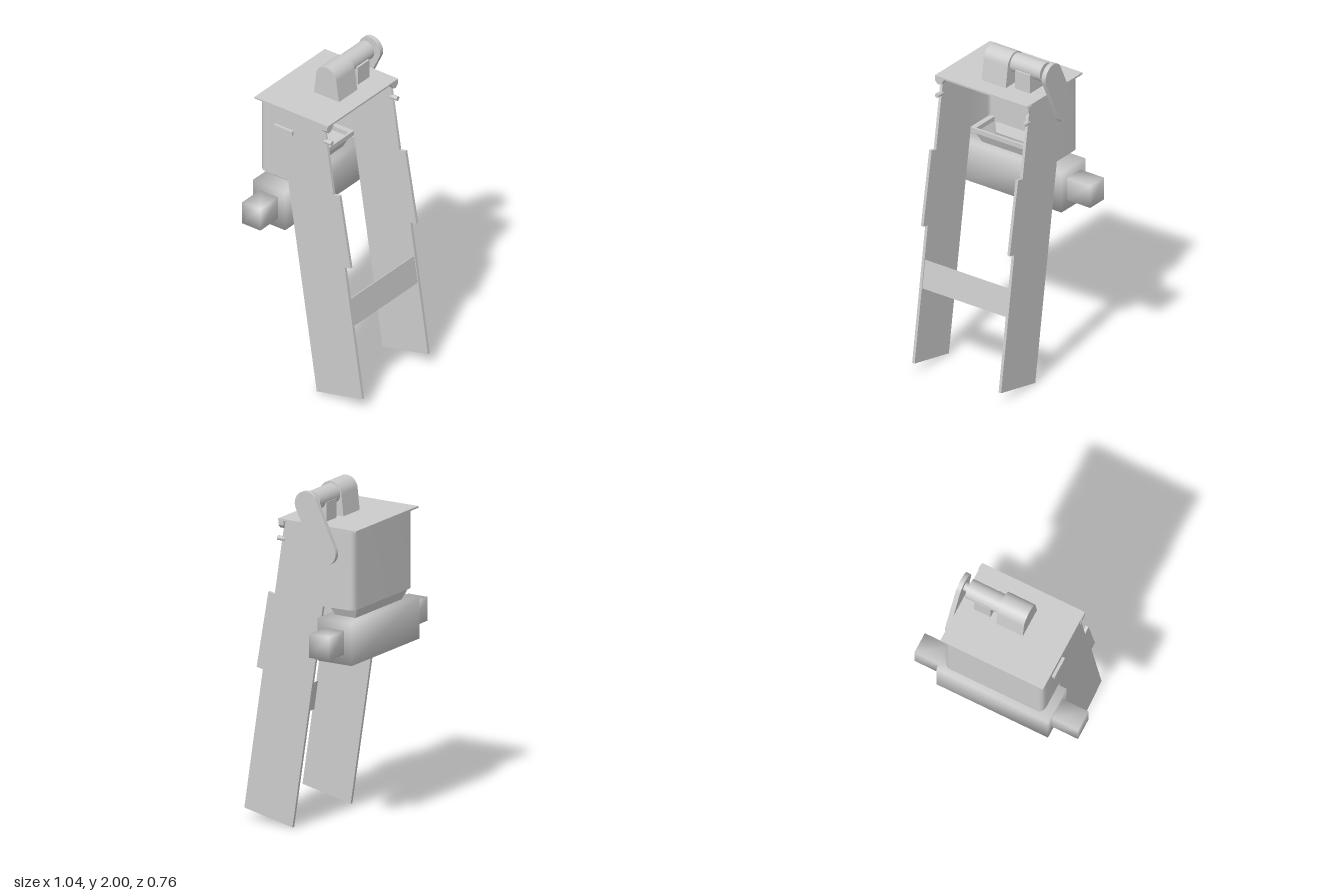
import * as THREE from 'three';
import { mergeVertices, toCreasedNormals } from 'three/addons/utils/BufferGeometryUtils.js';

const grey = new THREE.MeshStandardMaterial({ color: 0xcccccc, side: THREE.DoubleSide });

export function createModel() {
  const model = new THREE.Group();

  const add = (name, geometry, x = 0, y = 0, z = 0) => {
    const mesh = new THREE.Mesh(geometry, grey);
    mesh.name = name;
    mesh.position.set(x, y, z);
    model.add(mesh);
    return mesh;
  };
  // box given by its minimum and maximum corners
  const box = (name, a, b, smooth = false) => {
    let g = new THREE.BoxGeometry(b[0] - a[0], b[1] - a[1], b[2] - a[2]);
    if (smooth) {
      g.deleteAttribute('normal');
      g.deleteAttribute('uv');
      g = mergeVertices(g);
      g.computeVertexNormals();
    }
    return add(name, g, (a[0] + b[0]) / 2, (a[1] + b[1]) / 2, (a[2] + b[2]) / 2);
  };
  const extrude = (shape, depth) => toCreasedNormals(
    new THREE.ExtrudeGeometry(shape, { depth, bevelEnabled: false, curveSegments: 16 }), 0.6);
  // side profile drawn in (z, y), spanning x0 to x1
  const sideExtrude = (name, shape, x0, x1) =>
    add(name, extrude(shape, x1 - x0).rotateY(-Math.PI / 2), x1);
  const polygon = (pts) => new THREE.Shape(pts.map(([x, y]) => new THREE.Vector2(x, y)));
  // cylinder along x
  const rod = (name, r, x0, x1, y, z) =>
    add(name, new THREE.CylinderGeometry(r, r, x1 - x0, 32).rotateZ(Math.PI / 2), (x0 + x1) / 2, y, z);

  // Leaning side panels with the stepped front edge
  const panel = polygon([
    [0.38, 0.07], [0.055, 0], [-0.15, 1.33], [-0.15, 1.8], [0.09, 1.8], [0.11, 1.775],
    [0.175, 1.353], [0.2175, 1.363], [0.297, 0.91], [0.255, 0.9],
  ]);
  for (const s of [-1, 1]) {
    const side = s < 0 ? 'right' : 'left';
    sideExtrude(side + 'SidePanel', panel, s * 0.305 - 0.009, s * 0.305 + 0.009);

    // Corner gusset under the lid
    const gusset = polygon([[s * 0.33, 1.8], [s * 0.33, 1.77], [s * 0.31, 1.75], [s * 0.29, 1.755], [s * 0.26, 1.8]]);
    add(side + 'Gusset', extrude(gusset, 0.035), 0, 0, 0.105);

    // Small catch on the front edge of the panel
    const knob = new THREE.CylinderGeometry(0.014, 0.014, 0.05, 16).rotateX(Math.PI / 2);
    add(side + 'Catch', knob, s * 0.305, 1.687, 0.133);

    // End stub of the lower housing
    const [a, b] = s < 0 ? [-0.52, -0.35] : [0.35, 0.52];
    box(side + 'HousingStub', [a, 1.08, -0.32], [b, 1.22, -0.19], true);
  }

  // Crossbar tilted with the legs
  const bar = add('crossbar', new THREE.BoxGeometry(0.6, 0.172, 0.006), 0, 0.605, 0.291);
  bar.rotation.x = -0.15;

  // Hopper wall, U-shaped in plan and open to the front
  const wall = new THREE.Shape();
  const w = 0.314, back = -0.355, r = 0.045, t = 0.016, front = -0.14;
  wall.moveTo(-w, front);
  wall.lineTo(-w, back + r);
  wall.quadraticCurveTo(-w, back, -w + r, back);
  wall.lineTo(w - r, back);
  wall.quadraticCurveTo(w, back, w, back + r);
  wall.lineTo(w, front);
  wall.lineTo(w - t, front);
  wall.lineTo(w - t, back + r);
  wall.quadraticCurveTo(w - t, back + t, w - r, back + t);
  wall.lineTo(-w + r, back + t);
  wall.quadraticCurveTo(-w + t, back + t, -w + t, back + r);
  wall.lineTo(-w + t, front);
  wall.closePath();
  add('hopperWall', extrude(wall, 0.47).rotateX(Math.PI / 2), 0, 1.8);

  // Rim around the hopper outlet
  const rim = polygon([[-0.3, -0.345], [0.3, -0.345], [0.3, -0.15], [-0.3, -0.15]]);
  rim.holes.push(polygon([[-0.265, -0.34], [-0.265, -0.165], [0.265, -0.165], [0.265, -0.34]]));
  add('hopperRim', extrude(rim, 0.028).rotateX(Math.PI / 2), 0, 1.36);

  // Open funnel narrowing onto the lower housing
  const funnel = new THREE.CylinderGeometry(Math.SQRT1_2, Math.SQRT1_2, 0.065, 4, 1, true)
    .rotateY(Math.PI / 4).toNonIndexed();
  const p = funnel.attributes.position;
  for (let i = 0; i < p.count; i++) {
    const top = p.getY(i) > 0;
    p.setX(i, p.getX(i) * (top ? 0.54 : 0.48));
    p.setZ(i, p.getZ(i) * (top ? 0.19 : 0.135));
  }
  funnel.computeVertexNormals();
  add('funnel', funnel, 0, 1.3, -0.255);

  // Lower housing
  box('lowerHousing', [-0.355, 1.02, -0.37], [0.355, 1.27, -0.14], true);

  // Lid and side grip
  box('lid', [-0.328, 1.795, -0.38], [0.325, 1.806, 0.145]);
  box('sideGrip', [-0.332, 1.648, -0.24], [-0.31, 1.675, -0.11]);

  // Gearbox with a rounded top
  const gearbox = new THREE.Shape();
  gearbox.moveTo(0.035, 1.8);
  gearbox.lineTo(0.014, 1.935);
  gearbox.absarc(-0.058, 1.927, 0.073, 0.1, Math.PI - 0.1, false);
  gearbox.lineTo(-0.145, 1.8);
  gearbox.closePath();
  sideExtrude('gearbox', gearbox, -0.08, 0.09);

  // Motor, its foot and shaft
  rod('motor', 0.058, 0.09, 0.3, 1.932, -0.065);
  box('motorFoot', [0.135, 1.8, -0.125], [0.24, 1.92, 0.005]);
  rod('shaft', 0.026, 0.3, 0.335, 1.932, -0.065);

  // Rounded drive guard
  const guard = new THREE.Shape();
  const tilt = Math.atan2(0.265, 0.125);
  guard.absarc(-0.062, 1.925, 0.075, Math.PI / 2 - (Math.PI / 2 - tilt) * -1 - Math.PI / 2, Math.PI / 2 + (Math.PI / 2 - tilt) + Math.PI / 2, false);
  guard.absarc(-0.187, 1.66, 0.075, Math.PI / 2 + (Math.PI / 2 - tilt) + Math.PI / 2, 2.5 * Math.PI - tilt, false);
  guard.closePath();
  const a0 = tilt - Math.PI / 2;
  const capsule = new THREE.Shape();
  capsule.absarc(-0.062, 1.925, 0.075, a0, a0 + Math.PI, false);
  capsule.absarc(-0.187, 1.66, 0.075, a0 + Math.PI, a0 + 2 * Math.PI, false);
  sideExtrude('driveGuard', capsule, 0.328, 0.356);

  return model;
}
